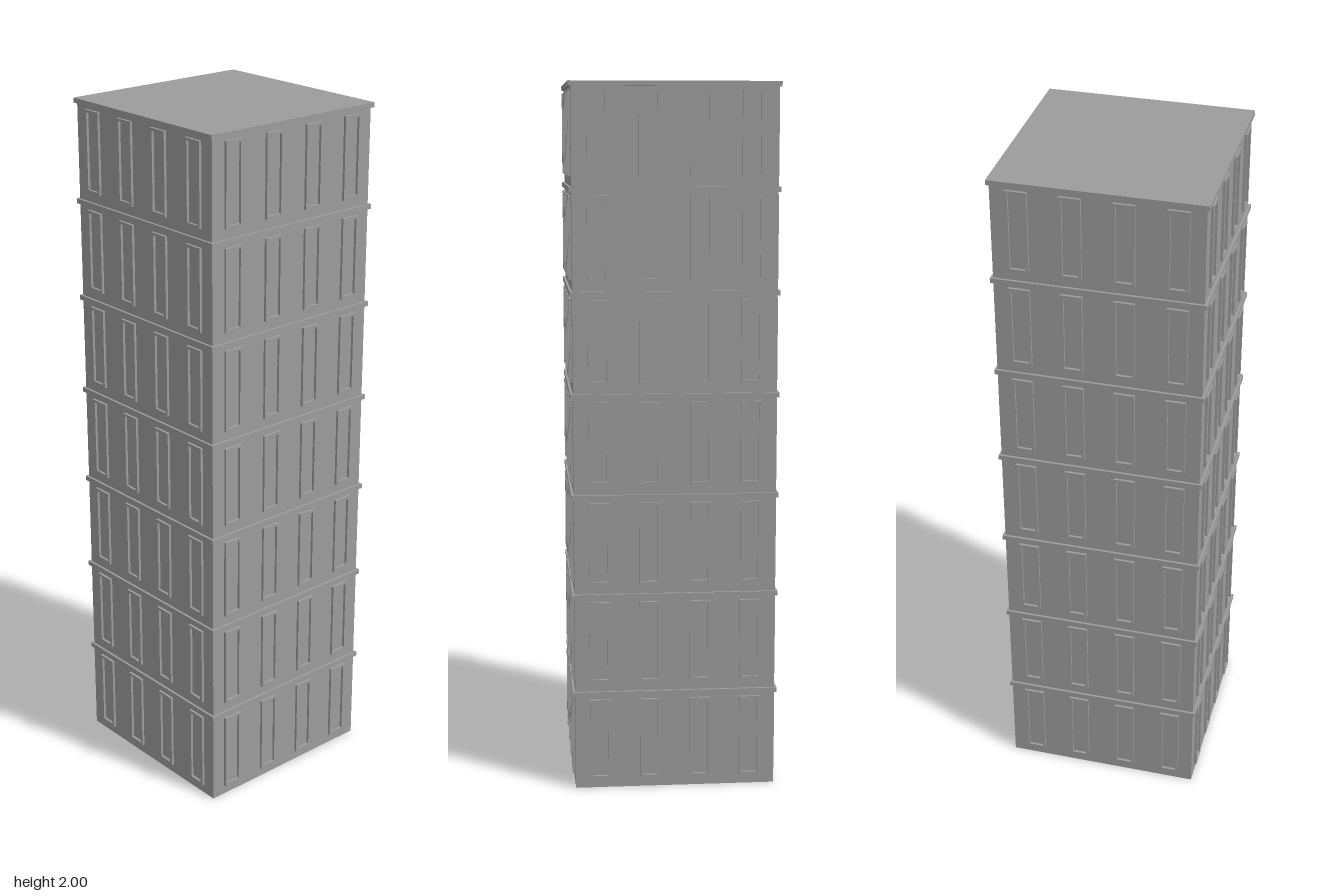
import * as THREE from 'three';

const STOREYS = 7, BAYS = 4;
const H = 2 / STOREYS;          // storey height
const W = 2 * H;                // wall width
const LEDGE_H = 0.014, LEDGE_OUT = 0.007;
const FRAME_W = 0.059, FRAME_BOTTOM = 0.028, FRAME_TOP = 0.262, BAR = 0.008, FRAME_OUT = 0.0075;

// Rectangular window surround with an open middle
function frameGeometry() {
  const w = FRAME_W / 2, h = (FRAME_TOP - FRAME_BOTTOM) / 2;
  const rect = (Type, a, b) => {
    const p = new Type();
    p.moveTo(-a, -b).lineTo(a, -b).lineTo(a, b).lineTo(-a, b).closePath();
    return p;
  };
  const shape = rect(THREE.Shape, w, h);
  shape.holes.push(rect(THREE.Path, w - BAR, h - BAR));
  return new THREE.ExtrudeGeometry(shape, { depth: FRAME_OUT, bevelEnabled: false });
}

export function createModel() {
  const model = new THREE.Group();
  model.name = 'towerBlock';
  const material = new THREE.MeshStandardMaterial({ color: 0x9c9c9c, flatShading: true });
  const add = (parent, name, geometry, x, y, z) => {
    const mesh = new THREE.Mesh(geometry, material);
    mesh.name = name;
    mesh.position.set(x, y, z);
    parent.add(mesh);
  };

  const wallH = H - LEDGE_H;
  const wall = new THREE.BoxGeometry(W, wallH, W);
  const ledge = new THREE.BoxGeometry(W + 2 * LEDGE_OUT, LEDGE_H, W + 2 * LEDGE_OUT);
  const frame = frameGeometry();

  for (let s = 0; s < STOREYS; s++) {
    const storey = new THREE.Group();
    storey.name = `storey${s + 1}`;
    storey.position.y = s * H;
    model.add(storey);

    add(storey, 'walls', wall, 0, wallH / 2, 0);
    add(storey, s === STOREYS - 1 ? 'roofSlab' : 'ledge', ledge, 0, H - LEDGE_H / 2, 0);

    // Four tall windows on each of the four sides
    for (let side = 0; side < 4; side++) {
      const facade = new THREE.Group();
      facade.name = ['front', 'left', 'back', 'right'][side] + 'Windows';
      facade.rotation.y = side * Math.PI / 2;
      storey.add(facade);
      for (let b = 0; b < BAYS; b++) {
        const x = (b - (BAYS - 1) / 2) * W / BAYS;
        add(facade, 'windowFrame', frame, x, (FRAME_BOTTOM + FRAME_TOP) / 2, W / 2);
      }
    }
  }
  return model;
}
